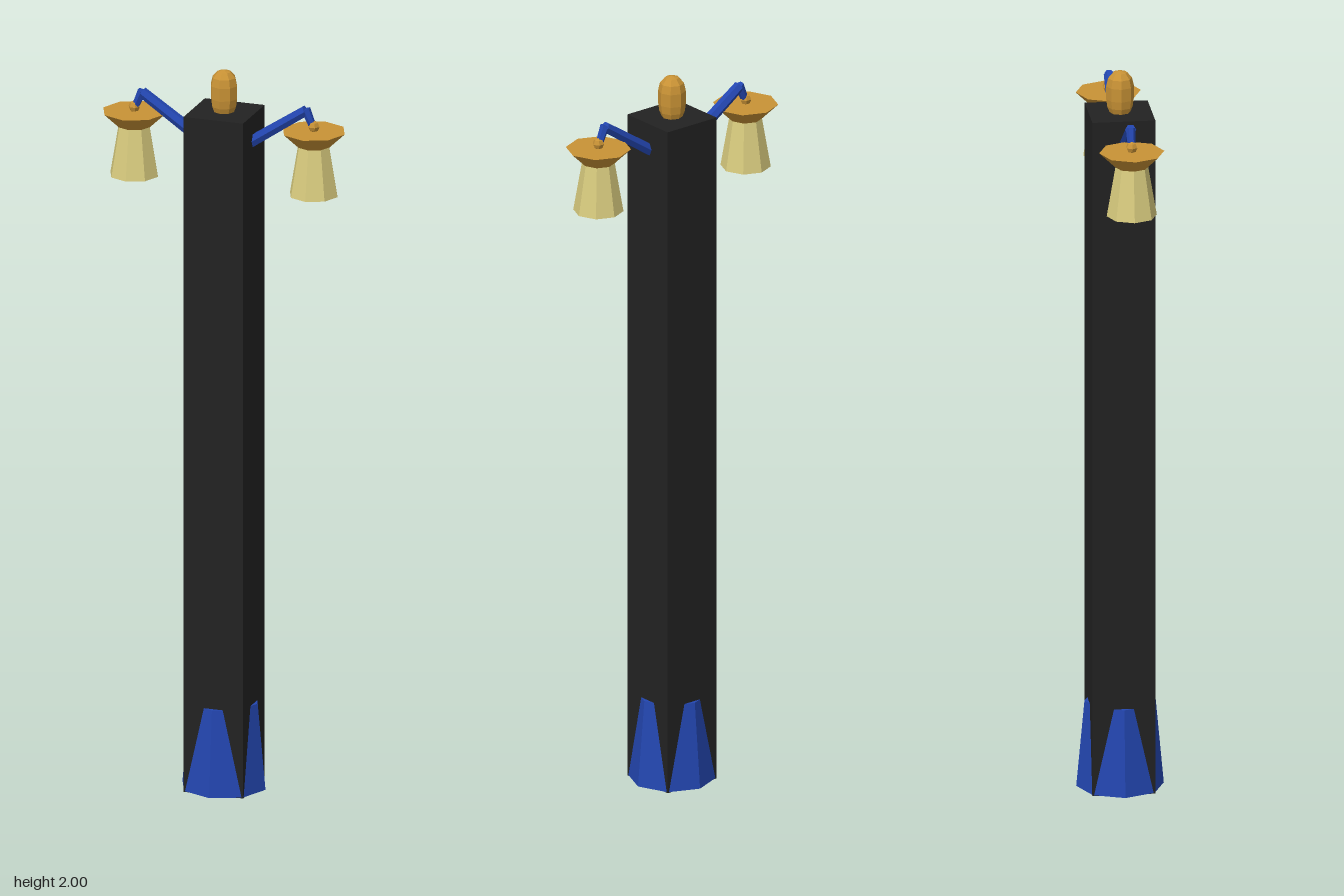
import * as THREE from 'three';

const paint = (name, color) => {
  const m = new THREE.MeshStandardMaterial({ color, flatShading: true });
  m.name = name;
  return m;
};

export function createModel() {
  const black = paint('blackIron', 0x222222);
  const blue = paint('bluePaint', 0x2346b0);
  const gold = paint('gold', 0xc89235);
  const glass = paint('paleGlass', 0xd8cb7e);

  const model = new THREE.Group();
  model.name = 'streetLamp';

  const add = (parent, name, geometry, material, x = 0, y = 0) => {
    const mesh = new THREE.Mesh(geometry, material);
    mesh.name = name;
    mesh.position.set(x, y, 0);
    parent.add(mesh);
    return mesh;
  };

  // Six-sided rod between two points in the x-y plane
  const rod = (parent, name, a, b, rTop, rBottom, material) => {
    const from = new THREE.Vector3(...a, 0);
    const to = new THREE.Vector3(...b, 0);
    const dir = to.clone().sub(from);
    const mesh = add(parent, name, new THREE.CylinderGeometry(rTop, rBottom, dir.length(), 6), material);
    mesh.position.copy(from).add(to).multiplyScalar(0.5);
    mesh.rotation.z = Math.atan2(-dir.x, dir.y);
  };

  // Square post in a tapered octagonal foot
  add(model, 'post', new THREE.BoxGeometry(0.168, 1.885, 0.168), black, 0, 0.9425);
  add(model, 'foot', new THREE.CylinderGeometry(0.095, 0.117, 0.238, 8), blue, 0, 0.121);

  // Rounded finial on top of the post
  const profile = [[0.026, 1.88], [0.034, 1.9], [0.037, 1.922], [0.037, 1.958], [0.032, 1.98], [0.019, 1.995], [0, 2]];
  add(model, 'finial', new THREE.LatheGeometry(profile.map(p => new THREE.Vector2(...p)), 8), gold);

  // One arm with a hanging lantern on each side
  for (const s of [1, -1]) {
    const arm = new THREE.Group();
    arm.name = s > 0 ? 'leftLamp' : 'rightLamp';
    model.add(arm);
    rod(arm, 'arm', [s * 0.07, 1.804], [s * 0.231, 1.912], 0.015, 0.017, blue);
    rod(arm, 'armTip', [s * 0.23, 1.916], [s * 0.25, 1.87], 0.01, 0.013, blue);
    const x = s * 0.253;
    add(arm, 'hangerKnob', new THREE.SphereGeometry(0.016, 6, 4), gold, x, 1.87);
    add(arm, 'shade', new THREE.CylinderGeometry(0.087, 0.045, 0.04, 8), gold, x, 1.837);
    add(arm, 'lanternGlass', new THREE.CylinderGeometry(0.043, 0.067, 0.14, 8), glass, x, 1.75);
  }
  return model;
}
